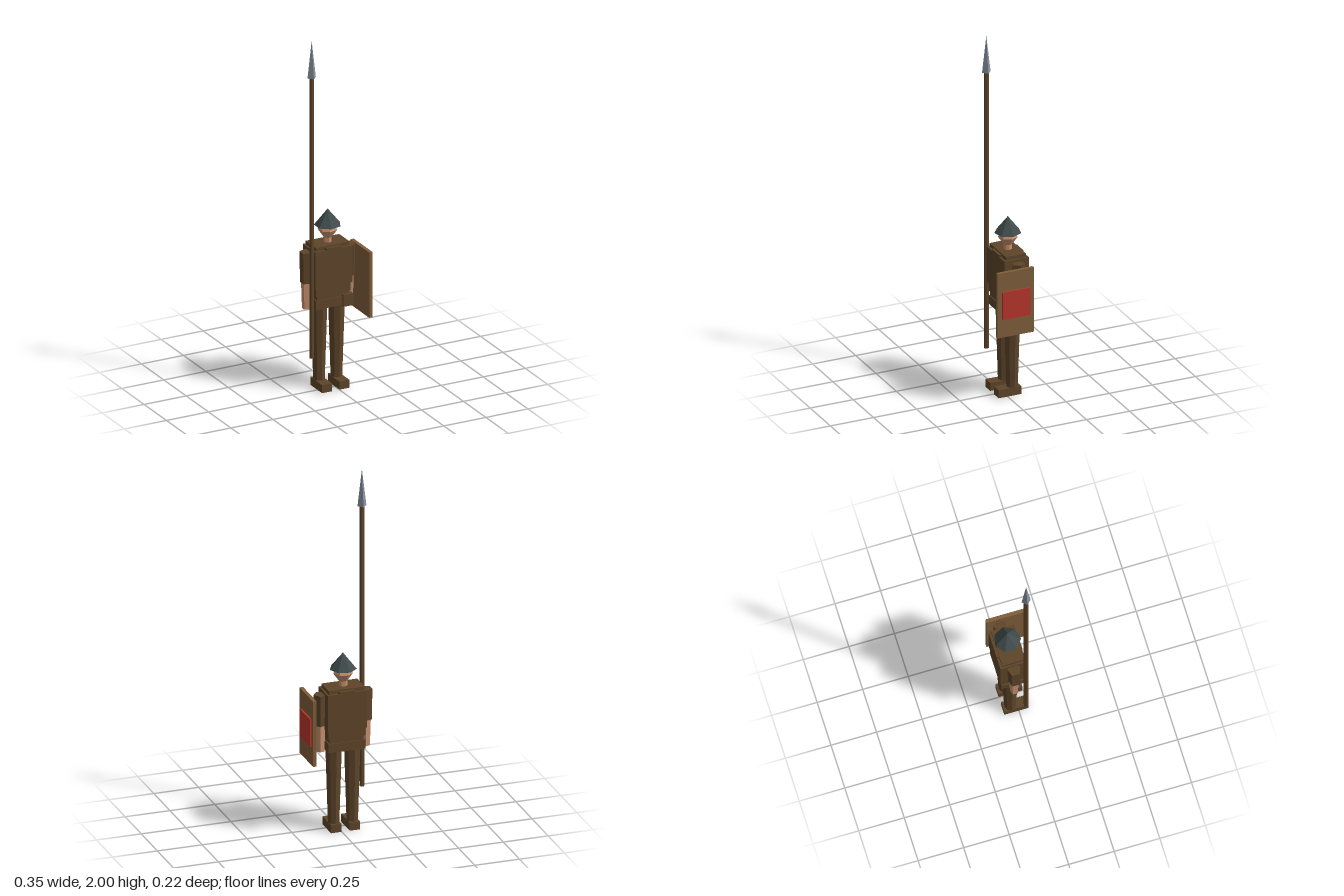
import * as THREE from 'three';

const makeMat = (name, color) => {
  const m = new THREE.MeshStandardMaterial({ color, flatShading: true });
  m.name = name;
  return m;
};

export function createModel() {
  const brown = makeMat('brown cloth', 0x5e452a);
  const wood = makeMat('shield wood', 0x7f5d3a);
  const skin = makeMat('skin', 0xc6906f);
  const iron = makeMat('dark iron', 0x414b4b);
  const steel = makeMat('pale steel', 0x89919b);
  const red = makeMat('red paint', 0xb8352d);

  const model = new THREE.Group();
  const CX = -0.021, CZ = -0.039; // axis of the body

  const add = (name, geo, mat) => {
    const mesh = new THREE.Mesh(geo, mat);
    mesh.name = name;
    model.add(mesh);
    return mesh;
  };
  // Box given by its limits on each axis
  const box = (name, mat, [x0, x1], [y0, y1], [z0, z1]) =>
    add(name, new THREE.BoxGeometry(x1 - x0, y1 - y0, z1 - z0), mat)
      .position.set((x0 + x1) / 2, (y0 + y1) / 2, (z0 + z1) / 2);
  // Box centred on the body axis
  const bodyBox = (name, w, d, y0, y1) =>
    box(name, brown, [CX - w / 2, CX + w / 2], [y0, y1], [CZ - d / 2, CZ + d / 2]);
  // Upright prism or cone with one corner pointing to +x
  const prism = (name, mat, rTop, rBottom, y0, y1, sides, x = CX, z = CZ) => {
    const geo = new THREE.CylinderGeometry(rTop, rBottom, y1 - y0, sides).rotateY(Math.PI / 2);
    add(name, geo, mat).position.set(x, (y0 + y1) / 2, z);
  };

  // Torso, from the hips up
  bodyBox('hips', 0.205, 0.125, 0.465, 0.515);
  bodyBox('belt', 0.19, 0.115, 0.515, 0.54);
  bodyBox('waist', 0.205, 0.125, 0.54, 0.587);
  bodyBox('chest', 0.22, 0.141, 0.587, 0.795);
  bodyBox('shoulderPlate', 0.2, 0.116, 0.795, 0.815);
  prism('collar', brown, 0.083, 0.083, 0.785, 0.806, 6);
  box('pouch', brown, [0.034, 0.091], [0.458, 0.525], [-0.01, 0.037]);

  // Head and helmet
  prism('neck', skin, 0.023, 0.023, 0.8, 0.845, 7);
  const profile = [[0, 0.835], [0.023, 0.842], [0.053, 0.886], [0.035, 0.93], [0, 0.94]]
    .map(([r, y]) => new THREE.Vector2(r, y));
  add('head', new THREE.LatheGeometry(profile, 7).rotateY(Math.PI / 2), skin).position.set(CX, 0, CZ);
  prism('helmet', iron, 0, 0.073, 0.91, 1.0, 7);

  // Limbs on both sides
  for (const [side, s] of [['right', -1], ['left', 1]]) {
    const legX = CX + s * 0.052, armX = CX + s * 0.127;
    prism(side + 'Leg', brown, 0.046, 0.032, 0.04, 0.475, 8, legX);
    box(side + 'Foot', brown, [legX - 0.029, legX + 0.029], [0, 0.045], [-0.08, 0.052]);
    prism(side + 'Sleeve', brown, 0.037, 0.033, 0.606, 0.78, 5, armX);
    prism(side + 'Forearm', skin, 0.028, 0.023, 0.458, 0.61, 5, armX);
  }

  // Spear in the right hand
  prism('spearShaft', brown, 0.013, 0.013, 0.2, 1.795, 6, -0.15, 0.025);
  prism('spearHead', steel, 0, 0.025, 1.79, 2.0, 4, -0.15, 0.025);

  // Shield on the left side
  box('shield', wood, [0.148, 0.168], [0.4, 0.77], [-0.102, 0.109]);
  box('shieldPanel', red, [0.168, 0.177], [0.505, 0.662], [-0.076, 0.083]);

  return model;
}
